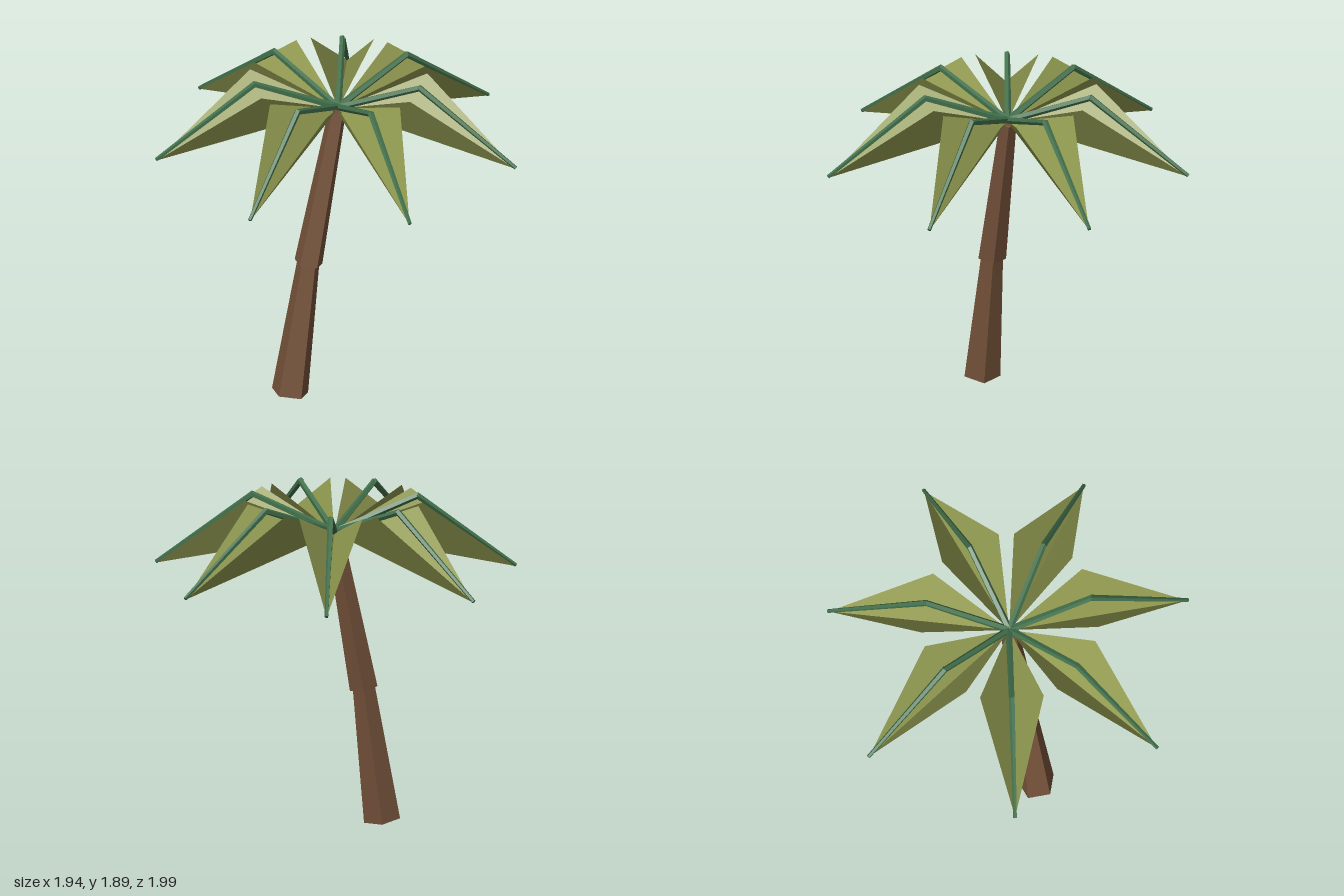
import * as THREE from 'three';

const bark = new THREE.MeshStandardMaterial({ color: 0x75523a, flatShading: true });
bark.name = 'bark brown';
const stemGreen = new THREE.MeshStandardMaterial({ color: 0x42704c, flatShading: true });
stemGreen.name = 'stem green';
const leafOlive = new THREE.MeshStandardMaterial({ color: 0x929b51, flatShading: true, side: THREE.DoubleSide });
leafOlive.name = 'leaf olive';

// Tapered five-sided rod between two [x, y] points in the z = 0 plane
function rod(name, from, to, r0, r1, material) {
  const dx = to[0] - from[0], dy = to[1] - from[1];
  const mesh = new THREE.Mesh(new THREE.CylinderGeometry(r1, r0, Math.hypot(dx, dy), 5), material);
  mesh.position.set((from[0] + to[0]) / 2, (from[1] + to[1]) / 2, 0);
  mesh.rotation.z = -Math.atan2(dx, dy);
  mesh.name = name;
  return mesh;
}

// Leaf folded along a straight crease, with both outer corners raised
function leafGeometry() {
  const base = [0, -0.02, 0], tip = [1.01, -0.25, 0];
  const cornerFront = [0.46, 0.175, 0.175], cornerBack = [0.46, 0.175, -0.175];
  const geometry = new THREE.BufferGeometry();
  geometry.setAttribute('position', new THREE.Float32BufferAttribute(
    [base, cornerFront, tip, base, tip, cornerBack].flat(), 3));
  geometry.computeVertexNormals();
  return geometry;
}

export function createModel() {
  const model = new THREE.Group();
  model.name = 'palmTree';

  // Leaning trunk in two overlapping sections
  const trunk = new THREE.Group();
  trunk.name = 'trunk';
  trunk.add(rod('lowerTrunk', [-0.38, 0.02], [-0.255, 0.795], 0.105, 0.064, bark));
  trunk.add(rod('upperTrunk', [-0.255, 0.783], [-0.057, 1.675], 0.081, 0.05, bark));
  model.add(trunk);

  // Crown of seven bent fronds
  const crown = new THREE.Group();
  crown.name = 'crown';
  crown.position.set(-0.055, 1.7, 0);
  const geometry = leafGeometry();
  for (let i = 0; i < 7; i++) {
    const frond = new THREE.Group();
    frond.name = 'frond' + (i + 1);
    const leaf = new THREE.Mesh(geometry, leafOlive);
    leaf.name = 'leaf';
    frond.add(
      leaf,
      rod('innerStem', [0, -0.01], [0.47, 0.174], 0.02, 0.017, stemGreen),
      rod('outerStem', [0.46, 0.177], [1.015, -0.245], 0.018, 0.011, stemGreen),
    );
    frond.rotation.y = (i * Math.PI * 2) / 7;
    crown.add(frond);
  }
  model.add(crown);
  return model;
}
